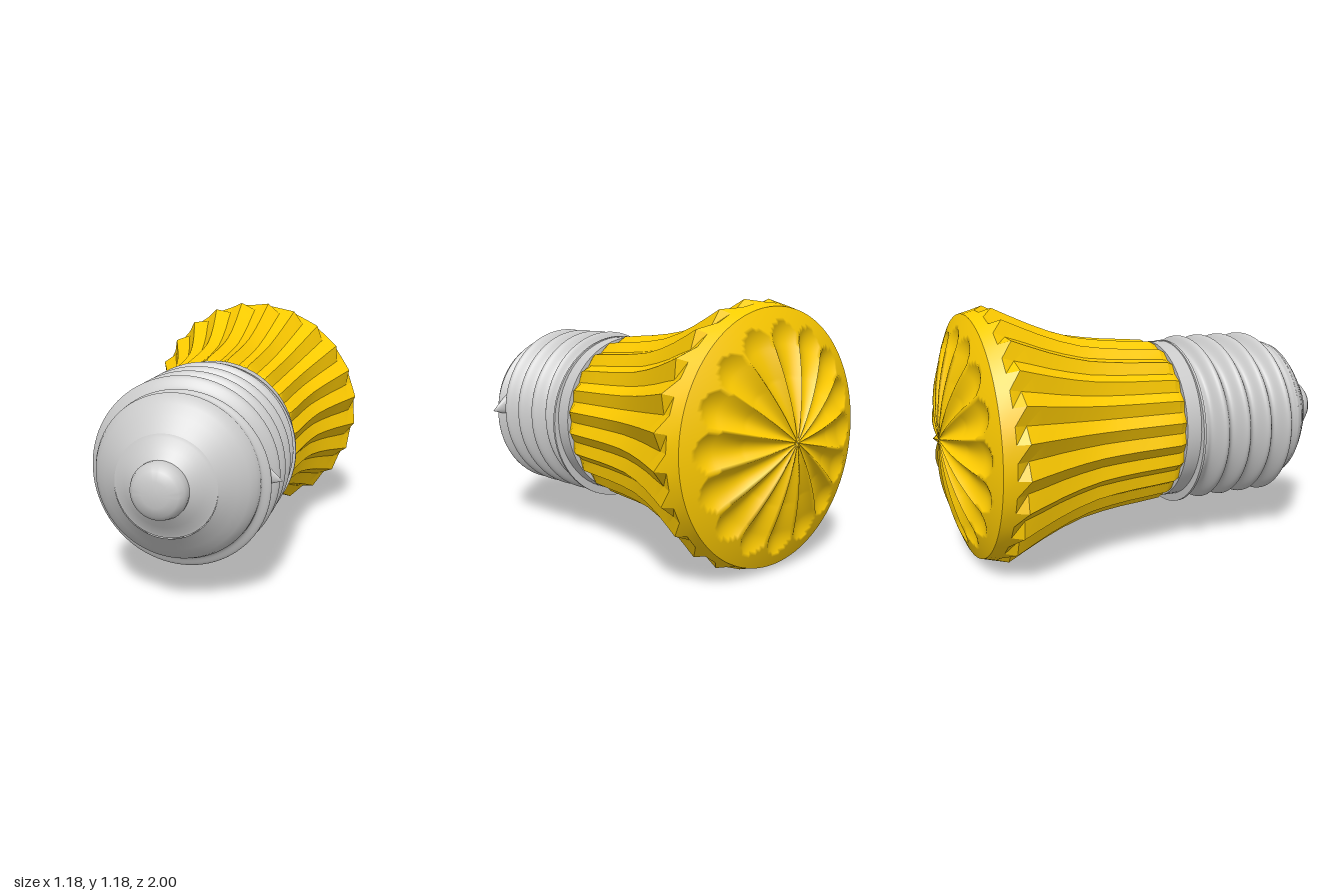
import * as THREE from 'three';
import { toCreasedNormals } from 'three/addons/utils/BufferGeometryUtils.js';
import { ParametricGeometry } from 'three/addons/geometries/ParametricGeometry.js';

const AXIS_Y = 0.593;
const TAU = Math.PI * 2;
const { smoothstep, lerp } = THREE.MathUtils;

// Surface around the z axis; shape(angle, v) returns [radius, z].
function around(shape, columns, rows) {
  return new ParametricGeometry((u, v, p) => {
    const a = u * TAU;
    const [r, z] = shape(a, v);
    p.set(r * Math.cos(a), r * Math.sin(a), z);
  }, columns, rows);
}

// Lathe around the z axis from [radius, z] points, z increasing.
function latheZ(points, crease = 0.5) {
  const g = new THREE.LatheGeometry(points.map(([r, z]) => new THREE.Vector2(r, z)), 64);
  return toCreasedNormals(g.rotateX(Math.PI / 2), crease);
}

export function createModel() {
  const model = new THREE.Group();
  const yellow = new THREE.MeshStandardMaterial({ color: 0xffcc00 });
  const grey = new THREE.MeshStandardMaterial({ color: 0xcccccc });

  const add = (name, geometry, material, y = AXIS_Y) => {
    const mesh = new THREE.Mesh(geometry, material);
    mesh.name = name;
    mesh.position.y = y;
    model.add(mesh);
    return mesh;
  };

  // Fluted bulb: 24 sharp ridges on a flared body, [z, ridge radius, groove radius]
  const flare = [
    [-0.87, 0.56, 0.56], [-0.815, 0.576, 0.576], [-0.76, 0.594, 0.553],
    [-0.68, 0.557, 0.522], [-0.58, 0.513, 0.48], [-0.48, 0.475, 0.445],
    [-0.37, 0.443, 0.414], [-0.27, 0.427, 0.4], [-0.17, 0.416, 0.39],
    [-0.07, 0.409, 0.383], [0.04, 0.4, 0.375], [0.075, 0.38, 0.365],
  ];
  const bulb = around((a, v) => {
    const [z, ridge, groove] = flare[Math.min(flare.length - 1, Math.round(v * (flare.length - 1)))];
    return [Math.round(a / TAU * 48) % 2 ? ridge : groove, z];
  }, 48, flare.length - 1);
  add('flutedBulb', toCreasedNormals(bulb, 0.32), yellow);

  // Domed end with 16 round-ended hollows meeting in the middle
  const dome = around((a, v) => {
    const r = 0.002 + v * 0.558;
    const k = a / TAU * 16;
    const across = 2 * (k - Math.round(k));
    const end = Math.max(0, (r - 0.4) / 0.1);
    const hollow = Math.max(0, 1 - across * across - end * end);
    return [r, -1 + 0.13 * (r / 0.56) ** 2 + 0.035 * hollow * Math.min(1, r / 0.28)];
  }, 192, 36);
  add('domedEnd', dome, yellow);

  // Skirt and thin flange between bulb and screw base
  add('skirt', latheZ([[0.3, 0.07], [0.39, 0.07], [0.39, 0.15], [0.34, 0.15]]), grey);
  add('flange', latheZ([[0.36, 0.142], [0.412, 0.146], [0.412, 0.158], [0.36, 0.164]]), grey, AXIS_Y - 0.018);

  // Screw base: a rounded helical thread that fades out at both ends
  const threaded = around((a, v) => {
    const z = lerp(0.15, 0.72, v);
    const wave = 0.5 + 0.5 * Math.cos(TAU * (z - 0.57) / 0.12 - a);
    const fade = smoothstep(z, 0.17, 0.23) * (1 - smoothstep(z, 0.66, 0.71));
    return [0.366 + 0.052 * wave * fade, z];
  }, 96, 110);
  add('screwThread', threaded, grey, AXIS_Y - 0.006);

  // Tapered end of the base, insulator and contact
  add('taperedShoulder', latheZ([
    [0.366, 0.72], [0.355, 0.745], [0.33, 0.77], [0.29, 0.805], [0.24, 0.845], [0.222, 0.862],
  ]), grey, AXIS_Y - 0.004);
  add('insulator', latheZ([[0.222, 0.862], [0.208, 0.867], [0.165, 0.895], [0.12, 0.925]]), grey);
  add('contact', latheZ([
    [0.122, 0.915], [0.123, 0.94], [0.115, 0.965], [0.095, 0.985], [0.055, 0.997], [0, 1],
  ], 0.9), grey, AXIS_Y + 0.005);

  // Small pointed fin where the thread begins
  const fin = add('threadTip', new THREE.ConeGeometry(0.07, 0.12, 24), grey, AXIS_Y + 0.01);
  fin.position.x = 0.387;
  fin.position.z = 0.652;
  fin.rotation.z = -Math.PI / 2 - 0.25;
  fin.scale.z = 0.45;

  return model;
}
